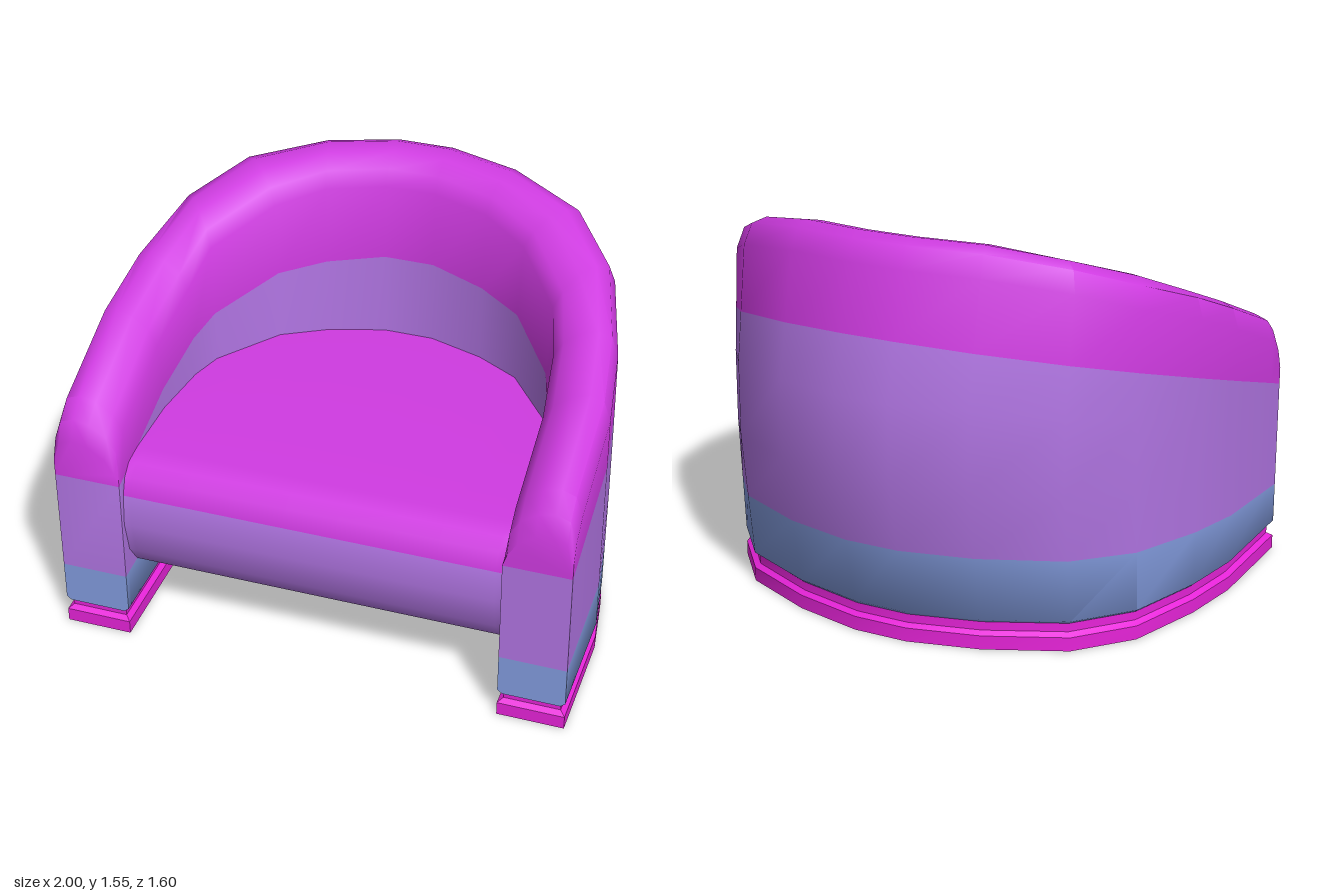
import * as THREE from 'three';
import { toCreasedNormals } from 'three/addons/utils/BufferGeometryUtils.js';

const lerp = THREE.MathUtils.lerp;

// Plan of the U-shaped wall, from the left arm's front end to the middle of the back:
// outer x, outer z, inner x, inner z, backward bulge
const PLAN = [
  [1, 0.8, 0.74, 0.8, 0],
  [1, 0.32, 0.74, 0.35, 0],
  [0.96, 0.06, 0.71, 0.1, 0.1],
  [0.865, -0.26, 0.67, -0.03, 0.3],
  [0.69, -0.47, 0.49, -0.27, 0.6],
  [0.39, -0.61, 0.32, -0.365, 0.9],
  [0.11, -0.68, 0.1, -0.435, 1],
].map(([ox, oz, ix, iz, bulge]) => ({ ox, oz, ix, iz, bulge }));

// Adds the mirrored second half of a list of stations
function mirrored(half) {
  const other = half.map((s) => ({ ...s, ox: -s.ox, ix: -s.ix })).reverse();
  return [...half, ...other];
}

// Skins rows of points (each row a closed ring); ring edges and end caps carry a material index
function loft(name, rows, edgeMats, materials, { loop = false, caps = [], crease = 0.75 } = {}) {
  const n = rows[0].length;
  const faces = materials.map(() => []);
  const last = rows.length - 1;
  for (let r = 0; r < (loop ? last + 1 : last); r++) {
    const next = (r + 1) % rows.length;
    edgeMats.forEach((m, j) => {
      if (m < 0) return;
      const k = (j + 1) % n;
      const a = r * n + j, b = next * n + j, c = r * n + k, d = next * n + k;
      faces[m].push(a, b, d, a, d, c);
    });
  }
  for (const [m, ring] of caps) {
    for (let i = 1; i < ring.length - 1; i++) {
      faces[m].push(ring[0], ring[i], ring[i + 1]);
      const e = last * n;
      faces[m].push(e + ring[0], e + ring[i + 1], e + ring[i]);
    }
  }
  const geometry = new THREE.BufferGeometry();
  geometry.setAttribute('position', new THREE.Float32BufferAttribute(rows.flat(2), 3));
  geometry.setIndex(faces.flat());
  let start = 0;
  faces.forEach((f, m) => {
    geometry.addGroup(start, f.length, m);
    start += f.length;
  });
  const mesh = new THREE.Mesh(toCreasedNormals(geometry, crease), materials);
  mesh.name = name;
  return mesh;
}

// Wall forming arms and back: sloped rounded rim, bulging back, three colour bands
function buildShell(materials) {
  const rimHeight = (s) => Math.min(1.55, 1.31 - 0.414 * lerp(s.oz, s.iz, 0.25));
  const half = PLAN.map((s) => ({ ...s, top: rimHeight(s) }));
  // Rounded front ends of the arms
  half[0].top = 0.88;
  half.splice(1, 0,
    { ...PLAN[0], oz: 0.77, iz: 0.77, top: 0.96 },
    { ...PLAN[0], oz: 0.7, iz: 0.7, top: 1.02 });

  const upperSeam = (z) => 0.975 - 0.33 * z;
  const lowerSeam = (z) => 0.34 - 0.075 * z;

  const rows = mirrored(half).map((s) => {
    const height = s.top - 0.12;
    const point = (t, y) => {
      const f = (y - 0.12) / height;
      const swell = THREE.MathUtils.clamp(Math.min(f / 0.38, (0.965 - f) / 0.365, 1), 0, 1);
      return [
        lerp(s.ox, s.ix, t),
        y,
        lerp(s.oz, s.iz, t) - 0.12 * s.bulge * swell * (1 - t),
      ];
    };
    return [
      point(0.07, 0.105), point(0, 0.12), point(0, lowerSeam(s.oz)),
      point(0, 0.12 + 0.38 * height), point(0, 0.12 + 0.6 * height),
      point(0, upperSeam(s.oz)),
      point(0, s.top - 0.1), point(0.1, s.top - 0.02), point(0.3, s.top),
      point(0.55, s.top - 0.015), point(0.8, s.top - 0.06), point(0.94, s.top - 0.12),
      point(1, upperSeam(s.iz)), point(1, lowerSeam(s.iz)),
      point(1, 0.12), point(0.93, 0.105),
    ];
  });
  const edges = [0, 0, 1, 1, 1, 2, 2, 2, 2, 2, 2, 2, 1, 0, 0, 0];
  const caps = [
    [0, [0, 1, 2, 13, 14, 15]],
    [1, [2, 3, 4, 5, 12, 13]],
    [2, [5, 6, 7, 8, 9, 10, 11, 12]],
  ];
  return loft('armsAndBack', rows, edges, materials, { caps, crease: 0.9 });
}

// Hollow plinth rim following the wall's footprint, with a notch under the wall
function buildBase(material) {
  const profile = [[0.06, 0.106], [0.06, 0], [0, 0], [0, 0.055], [0.02, 0.07], [0.02, 0.106]];
  const stations = mirrored(PLAN);
  const side = (s, i, inner) => profile.map(([inset, y]) => {
    const t = inner ? 1 - inset / 0.26 : inset / 0.26;
    const end = i === 0 || i === stations.length - 1;
    return [lerp(s.ox, s.ix, t), y, lerp(s.oz, s.iz, t) - (end ? inset : 0)];
  });
  const rows = [
    ...stations.map((s, i) => side(s, i, false)),
    ...stations.map((s, i) => side(s, i, true)).reverse(),
  ];
  return loft('baseRim', rows, [0, 0, 0, 0, 0, -1], [material], { loop: true, crease: 0.6 });
}

// Seat cushion: rounded front, back edge following the inside of the wall
function buildSeat(materials) {
  const front = [
    [0.6, 0.25], [0.69, 0.29], [0.75, 0.38], [0.78, 0.52],
    [0.77, 0.65], [0.745, 0.72], [0.7, 0.76], [0.62, 0.772],
  ];
  const rows = mirrored(PLAN.slice(1)).reverse().map((s) => {
    const back = s.iz - 0.03;
    return [
      [s.ix, 0.25, back],
      ...front.map(([z, y]) => [s.ix, y, z]),
      [s.ix, 0.772, back],
    ];
  });
  const edges = [0, 0, 0, 0, 0, 1, 1, 1, 1, 0];
  const caps = [[0, [0, 1, 2, 3, 4, 5]], [1, [0, 5, 6, 7, 8, 9]]];
  return loft('seatCushion', rows, edges, materials, { caps });
}

export function createModel() {
  const paint = (name, color) => {
    const material = new THREE.MeshStandardMaterial({ color });
    material.name = name;
    return material;
  };
  const blue = paint('blue', 0x839cdf);
  const lavender = paint('lavender', 0xb175e3);
  const purple = paint('purple', 0xcf3be1);
  const pink = paint('pink', 0xe824da);

  const chair = new THREE.Group();
  chair.name = 'tubChair';
  chair.add(
    buildShell([blue, lavender, purple]),
    buildBase(pink),
    buildSeat([lavender, purple]),
  );
  return chair;
}
